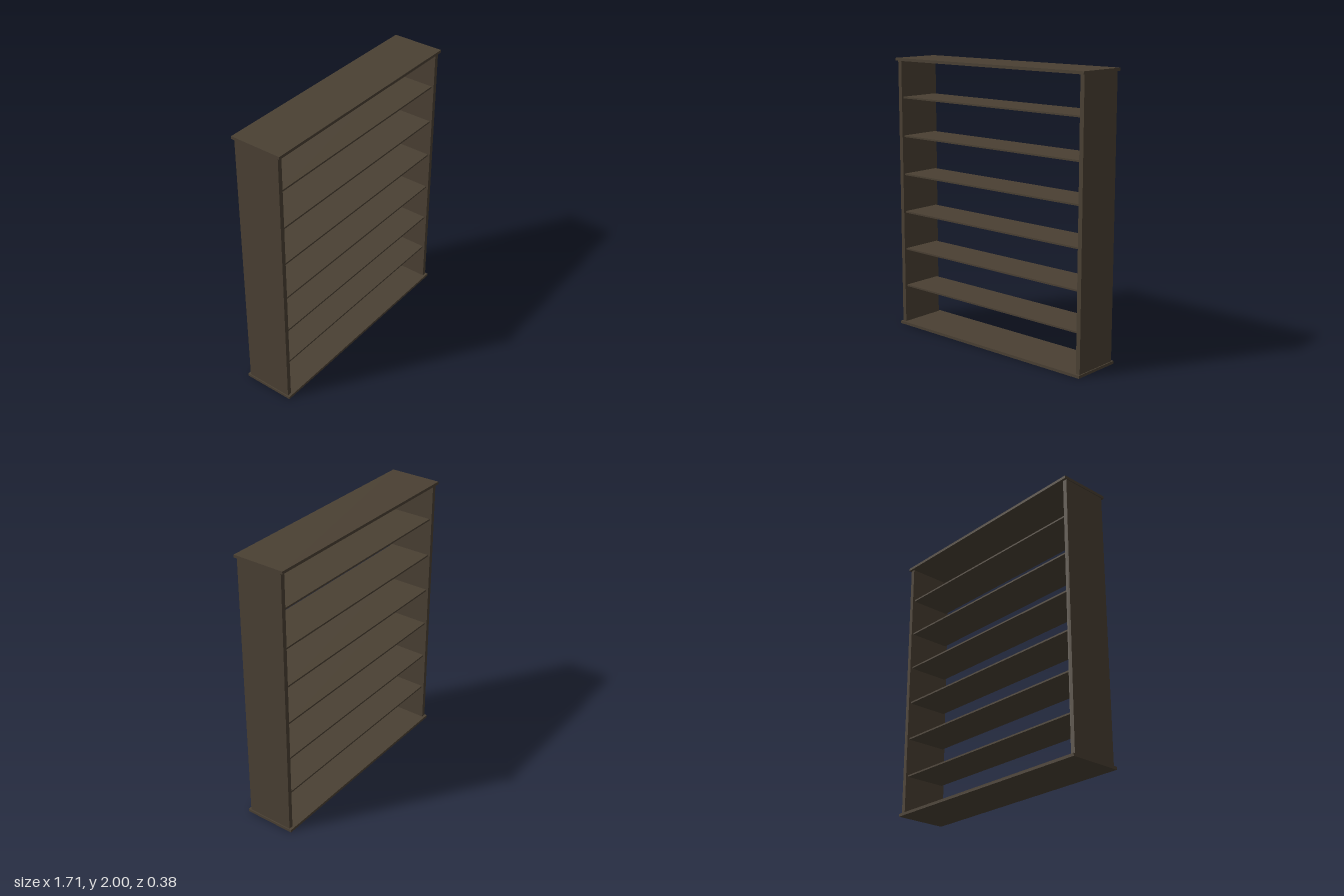
import * as THREE from 'three';

export function createModel() {
  const group = new THREE.Group();
  const wood = new THREE.MeshStandardMaterial({ color: 0x4a4033 });
  wood.name = 'darkWood';

  const board = (name, w, h, d, x, y) => {
    const mesh = new THREE.Mesh(new THREE.BoxGeometry(w, h, d), wood);
    mesh.name = name;
    mesh.position.set(x, y, 0);
    group.add(mesh);
  };

  // Overhanging top and base boards
  const slab = 0.02;
  board('baseBoard', 1.71, slab, 0.38, 0, slab / 2);
  board('topBoard', 1.71, slab, 0.38, 0, 2 - slab / 2);

  // Upright side panels
  for (const side of [-1, 1]) {
    board(side > 0 ? 'leftPanel' : 'rightPanel', 0.032, 2 - 2 * slab, 0.344, side * 0.832, 1);
  }

  // Evenly spaced shelves, slightly shallower than the panels
  for (let i = 0; i < 6; i++) {
    board(`shelf${i + 1}`, 1.632, 0.012, 0.31, 0, 0.298 + i * 0.2832);
  }
  return group;
}
